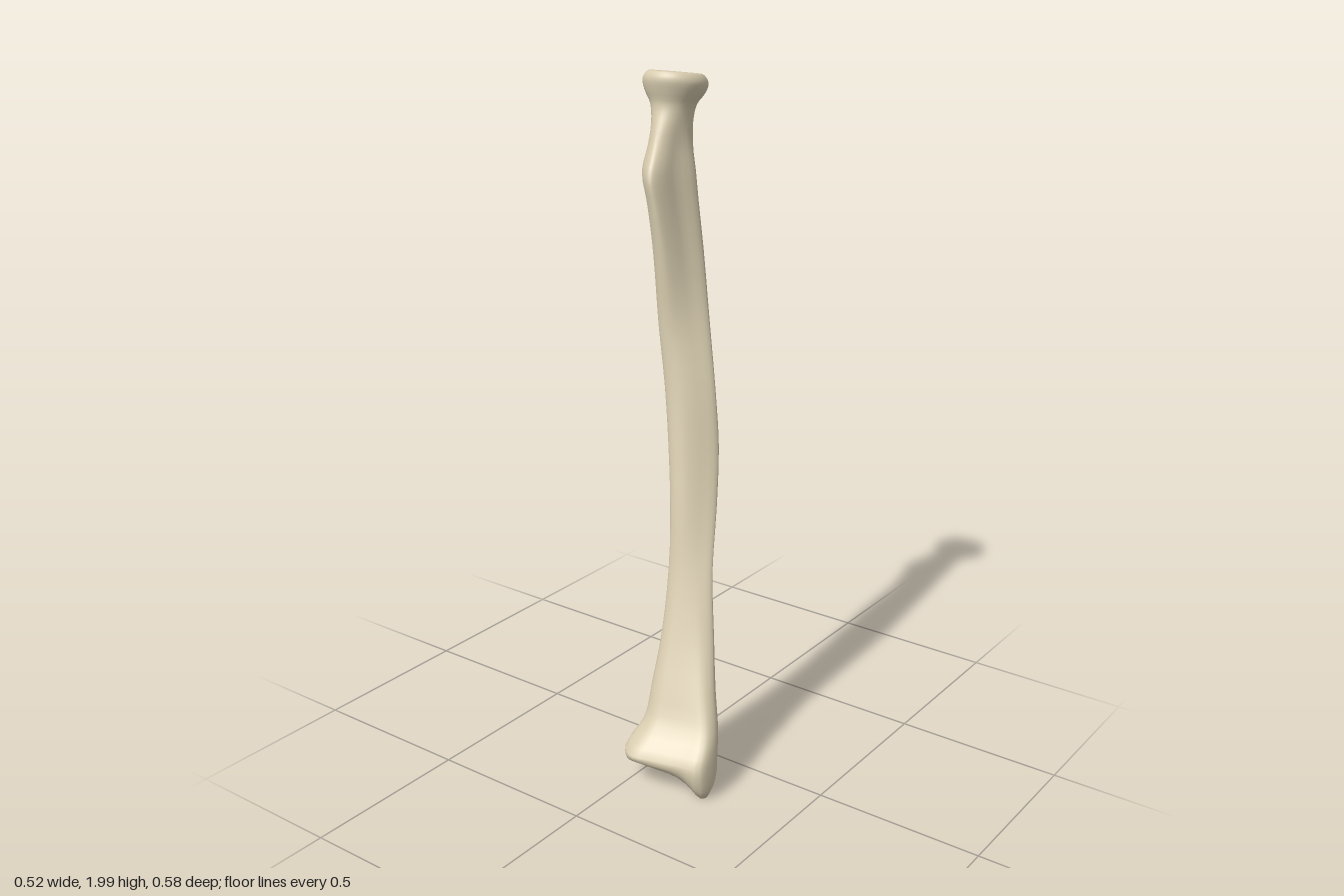
import * as THREE from 'three';
import { mergeVertices } from 'three/addons/utils/BufferGeometryUtils.js';

// Unit cross-section outlines (x, z), running right -> front -> left -> back
const round = Array.from({ length: 12 }, (_, k) => [Math.cos(k * Math.PI / 6), Math.sin(k * Math.PI / 6)]);
const tuberosity = [[1, -.65], [.75, 0], [.65, .6], [.4, 1], [-.1, .8], [-.65, .3],
  [-1, -.15], [-.95, -.5], [-.6, -.8], [-.1, -.97], [.4, -1], [.85, -.9]];
const shaft = [[1, -.7], [.6, 0], [.25, .5], [-.1, .85], [-.5, 1], [-.85, .8],
  [-1, .4], [-.9, -.1], [-.55, -.5], [-.1, -.8], [.4, -.97], [.9, -1]];
const flare = [[1, .1], [.93, .5], [.5, .65], [-.1, .85], [-.53, 1], [-.82, .8],
  [-1, .45], [-.82, -.45], [-.53, -.85], [-.15, -1], [.42, -.85], [.95, -.3]];
const outlines = [round, tuberosity, shaft, flare];

// Sections from top to bottom: y, x min, x max, z min, z max, outline (fractions blend), tilt
const head = [
  [1.97, -.195, -.135, -.23, -.17, 0, .13],
  [1.975, -.22, -.11, -.255, -.145, 0, .13],
  [1.987, -.24, -.09, -.27, -.122, 0, .13],
  [1.965, -.26, -.073, -.29, -.108, 0, .13],
  [1.935, -.255, -.08, -.283, -.112, 0, .1],
  [1.9, -.23, -.1, -.255, -.12, 0, .05],
];
const body = [
  [1.85, -.217, -.105, -.235, -.1, .3, 0],
  [1.79, -.221, -.1, -.22, -.07, .7, 0],
  [1.72, -.229, -.085, -.207, -.027, 1, 0],
  [1.64, -.203, -.07, -.197, -.027, 1.1, 0],
  [1.5, -.165, -.04, -.175, -.037, 1.5, 0],
  [1.3, -.135, 0, -.145, -.05, 2, 0],
  [1.12, -.102, .037, -.122, -.037, 2, 0],
  [.95, -.07, .063, -.105, -.01, 2, 0],
  [.78, -.038, .087, -.062, .023, 2, 0],
  [.6, -.014, .115, -.005, .06, 2.1, 0],
  [.42, 0, .155, .03, .118, 2.4, 0],
  [.28, .002, .195, .06, .175, 2.7, 0],
  [.18, .002, .23, .08, .22, 2.9, 0],
  [.105, -.025, .25, .085, .29, 3, 0],
];

// Uneven lower rim, underside and pointed tip (x, y, z)
const rim = [[.255, .035, .2], [.24, .03, .235], [.18, .07, .25], [.1, .08, .27], [.04, .085, .283], [0, .075, .265],
  [-.018, .065, .23], [0, .06, .14], [.04, .05, .105], [.09, .05, .092], [.17, .06, .105], [.245, .06, .165]];
const underside = [[.245, .006, .205], [.23, .002, .22], [.18, .03, .22], [.1, .048, .22], [.05, .055, .225], [.02, .055, .22],
  [.005, .05, .2], [.02, .04, .15], [.06, .03, .12], [.1, .02, .125], [.16, .02, .14], [.22, .03, .18]];

function sectionRing([y, x0, x1, z0, z1, shape, tilt]) {
  const i = Math.min(Math.floor(shape), 2), t = shape - i;
  return outlines[i].map(([ax, az], k) => {
    const [bx, bz] = outlines[i + 1][k];
    const x = THREE.MathUtils.lerp(ax, bx, t), z = THREE.MathUtils.lerp(az, bz, t);
    const dz = z * (z1 - z0) / 2;
    return new THREE.Vector3((x0 + x1) / 2 + x * (x1 - x0) / 2, y + tilt * dz, (z0 + z1) / 2 + dz);
  });
}

// Skin the rings with smooth curves around and along the bone
function loft(rings, topCentre, bottomCentre) {
  const around = 36, perSpan = 3;
  const smooth = rings.map(r => new THREE.CatmullRomCurve3(r, true).getPoints(around));
  const rows = (smooth.length - 1) * perSpan;
  const positions = [], index = [];
  for (let k = 0; k < around; k++) {
    const column = new THREE.CatmullRomCurve3(smooth.map(r => r[k])).getPoints(rows);
    for (const p of [topCentre, ...column, bottomCentre]) positions.push(p.x, p.y, p.z);
  }
  const n = rows + 3;
  for (let k = 0; k < around; k++) {
    for (let j = 0; j < n - 1; j++) {
      const a = k * n + j, b = ((k + 1) % around) * n + j;
      if (j < n - 2) index.push(a, b + 1, a + 1);
      if (j > 0) index.push(a, b, b + 1);
    }
  }
  let geometry = new THREE.BufferGeometry();
  geometry.setAttribute('position', new THREE.Float32BufferAttribute(positions, 3));
  geometry.setIndex(index);
  geometry = mergeVertices(geometry, 1e-5);
  geometry.computeVertexNormals();
  return geometry;
}

export function createModel() {
  const group = new THREE.Group();
  group.name = 'forearmBone';
  const bone = new THREE.MeshStandardMaterial({ color: 0xd9cdb0 });
  bone.name = 'bone ivory';

  const toVectors = points => points.map(p => new THREE.Vector3(...p));
  const rings = [...[...head, ...body].map(sectionRing), toVectors(rim), toVectors(underside)];
  const mesh = new THREE.Mesh(
    loft(rings, new THREE.Vector3(-.165, 1.969, -.2), new THREE.Vector3(.12, .045, .18)), bone);
  mesh.name = 'boneShaftAndEnds';
  group.add(mesh);
  return group;
}
